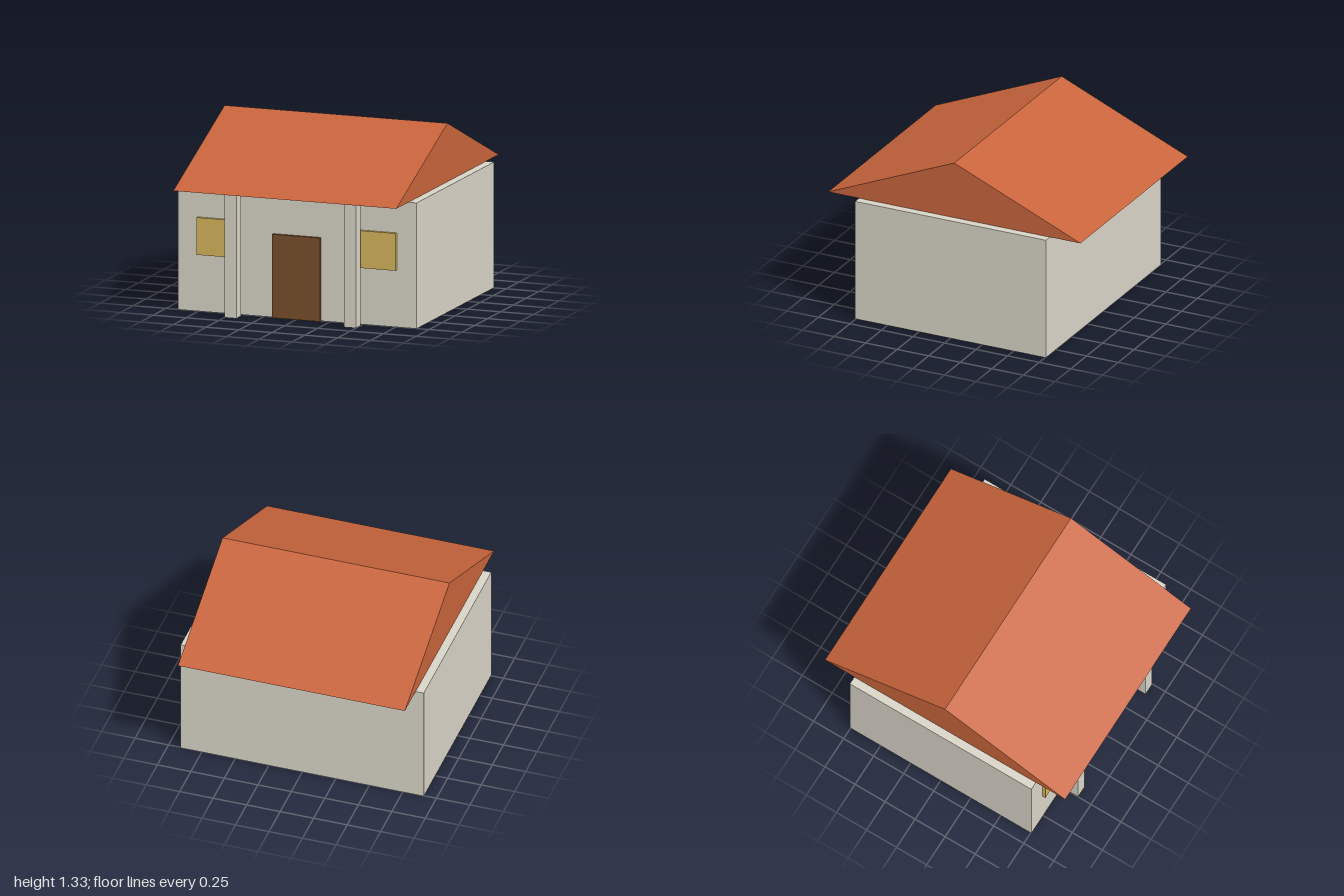
import * as THREE from 'three';

const mat = (color) => new THREE.MeshStandardMaterial({ color });

export function createModel() {
  const house = new THREE.Group();
  house.name = 'house';
  const wall = mat(0xd9d4c7), tile = mat(0xc8643c), wood = mat(0x7a4f2b), glass = mat(0xd6b65c);
  const wallH = 0.91, wallZ = 0.756;

  // Box given by its size and the centre of its base
  function box(name, [w, h, d], [x, y, z], material) {
    const mesh = new THREE.Mesh(new THREE.BoxGeometry(w, h, d), material);
    mesh.position.set(x, y + h / 2, z);
    mesh.name = name;
    house.add(mesh);
  }

  // Walls and front door
  box('walls', [1.814, wallH, 2 * wallZ], [0, 0, 0], wall);
  box('door', [0.363, 0.605, 0.046], [0, 0, wallZ], wood);

  // Windows and porch posts, mirrored
  for (const [side, s] of [['left', 1], ['right', -1]]) {
    box(side + 'Window', [0.303, 0.27, 0.046], [s * 0.605, 0.412, wallZ], glass);
    box(side + 'Post', [0.09, wallH, 0.09], [s * 0.454, 0, 0.847], wall);
  }

  // Gable roof: a triangular prism along x, overhanging front and back
  const roofW = 1.694;
  const gable = new THREE.Shape([
    new THREE.Vector2(-1, 0), new THREE.Vector2(1, 0), new THREE.Vector2(0, 0.423),
  ]);
  const roofGeo = new THREE.ExtrudeGeometry(gable, { depth: roofW, bevelEnabled: false });
  roofGeo.translate(0, 0, -roofW / 2).rotateY(Math.PI / 2);
  const roof = new THREE.Mesh(roofGeo, tile);
  roof.position.y = wallH + 0.001;
  roof.name = 'roof';
  house.add(roof);

  return house;
}
